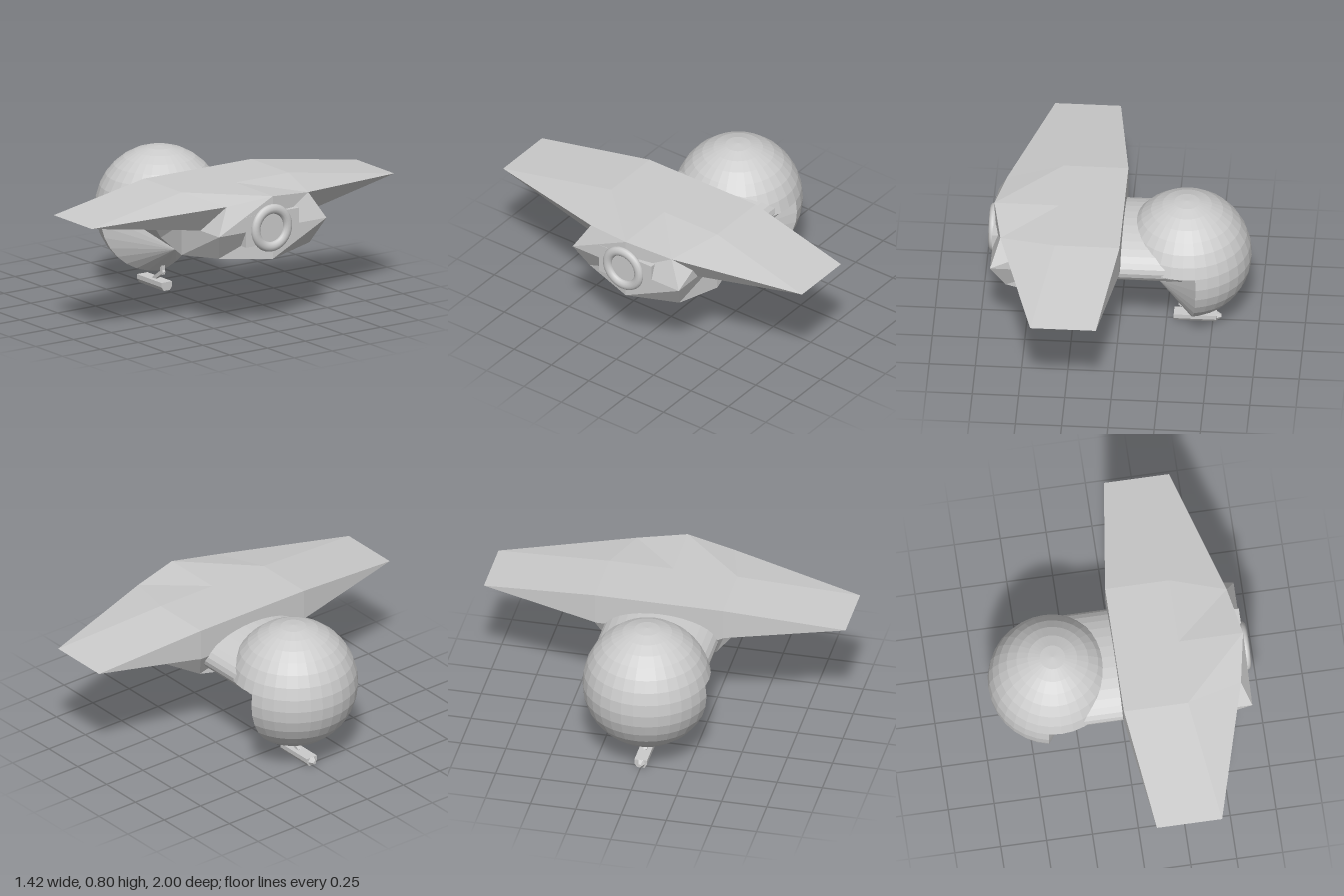
import * as THREE from 'three';

const mat = new THREE.MeshStandardMaterial({ color: 0xcccccc, flatShading: true, side: THREE.DoubleSide });
const smooth = new THREE.MeshStandardMaterial({ color: 0xcccccc });

function add(parent, name, geo, material = mat) {
  const mesh = new THREE.Mesh(geo, material);
  mesh.name = name;
  parent.add(mesh);
  return mesh;
}

// Flat triangles joining points in fans
function triangles(list) {
  const geo = new THREE.BufferGeometry().setFromPoints(list.flat());
  geo.computeVertexNormals();
  return geo;
}
const V = (x, y, z) => new THREE.Vector3(x, y, z);
const fan = (apex, pts) => pts.slice(1).map((p, i) => [apex, pts[i], p]);

function makeHead() {
  const head = new THREE.Group();
  head.name = 'head';
  head.position.set(-0.36, 0.45, 0);
  const r = 0.35, step = Math.PI / 16;
  add(head, 'dome', new THREE.SphereGeometry(r, 32, 7, 0, Math.PI * 2, 0, 7 * step));
  add(head, 'lowerShell', new THREE.SphereGeometry(r, 14, 9, 25 * step, 14 * step, 7 * step, 9 * step));

  // Conical throat closing the opening in the shell
  const at = (p, t) => V(-r * Math.cos(p * step) * Math.sin(t * step), r * Math.cos(t * step),
    r * Math.sin(p * step) * Math.sin(t * step));
  const rim = [];
  for (let p = 7; p <= 25; p++) rim.push(at(p, 7));
  for (let t = 8; t <= 16; t++) rim.push(at(25, t));
  for (let t = 15; t >= 7; t--) rim.push(at(7, t));
  add(head, 'throat', triangles(fan(V(0.15, -0.2, 0), rim)));
  return head;
}

// Box with two cells per side and its corners pulled inwards
function hullGeometry() {
  const geo = new THREE.BoxGeometry(2, 2, 2, 2, 2, 2).toNonIndexed();
  const p = geo.attributes.position;
  for (let i = 0; i < p.count; i++) {
    const [a, b, c] = [p.getX(i), p.getY(i), p.getZ(i)].map(Math.round);
    let x = 0.33 + 0.35 * a, y = 0.565 + 0.175 * b, z = 0.355 * c;
    if (a && b && c) {
      if (b < 0) { x = 0.33 + 0.27 * a; y = 0.42; z = 0.3 * c; }
      else if (a > 0) { x = 0.63; y = 0.71; z = 0.27 * c; }
    }
    p.setXYZ(i, x, y, z - 0.012);
  }
  geo.computeVertexNormals();
  return geo;
}

function wingGeometry(s) {
  const root = (x, y, z = 0.355) => V(x, y, s * z - 0.012);
  const tipA = V(0.065, 0.657, s), tipB = V(0.42, 0.657, s);
  const topA = root(-0.02, 0.74), topM = root(0.33, 0.74), topB = root(0.63, 0.71, 0.27);
  const lowA = root(-0.02, 0.567), lowB = root(0.51, 0.567);
  const faces = [
    [topA, tipA, topM], [topM, tipA, tipB], [topM, tipB, topB],
    [topA, lowA, tipA],
    [lowA, lowB, tipB], [lowA, tipB, tipA],
    [lowB, topB, tipB],
  ];
  return triangles(s > 0 ? faces : faces.map(([a, b, c]) => [a, c, b]));
}

function makeGun() {
  const gun = new THREE.Group();
  gun.name = 'chinGun';
  // Barrel with a chamfered underside
  const outline = new THREE.Shape([[-0.035, 0.05], [-0.035, 0.025], [-0.02, 0.003], [0.02, 0.003],
    [0.035, 0.025], [0.035, 0.05]].map(([x, y]) => new THREE.Vector2(x, y)));
  const barrel = new THREE.ExtrudeGeometry(outline, { depth: 0.23, bevelEnabled: false });
  add(gun, 'barrel', barrel.rotateY(Math.PI / 2).translate(-0.52, 0, 0));
  const nose = new THREE.CylinderGeometry(0.01, 0.026, 0.027, 6).rotateZ(Math.PI / 2);
  add(gun, 'muzzle', nose.translate(-0.532, 0.028, 0));
  // Slanted strut and its upright
  const strut = new THREE.BoxGeometry(0.11, 0.02, 0.018).rotateZ(0.6);
  add(gun, 'strut', strut.translate(-0.365, 0.075, 0));
  add(gun, 'strutMount', new THREE.BoxGeometry(0.02, 0.05, 0.018).translate(-0.332, 0.11, 0));
  return gun;
}

export function createModel() {
  const model = new THREE.Group();
  model.name = 'spacecraft';
  model.add(makeHead(), makeGun());

  // Flattened neck between head and hull
  const neck = new THREE.CylinderGeometry(1, 1, 0.45, 32).rotateZ(Math.PI / 2);
  add(model, 'neck', neck.scale(1, 0.14, 0.317).translate(-0.125, 0.53, -0.005));

  add(model, 'hull', hullGeometry());
  add(model, 'leftWing', wingGeometry(1));
  add(model, 'rightWing', wingGeometry(-1));

  // Rear engine plate and ring
  add(model, 'enginePlate', new THREE.BoxGeometry(0.16, 0.17, 0.35).translate(0.602, 0.565, -0.01));
  const ring = new THREE.TorusGeometry(0.105, 0.027, 12, 32).rotateY(Math.PI / 2);
  add(model, 'engineRing', ring.scale(0.8, 1, 1).translate(0.686, 0.567, 0), smooth);
  return model;
}
